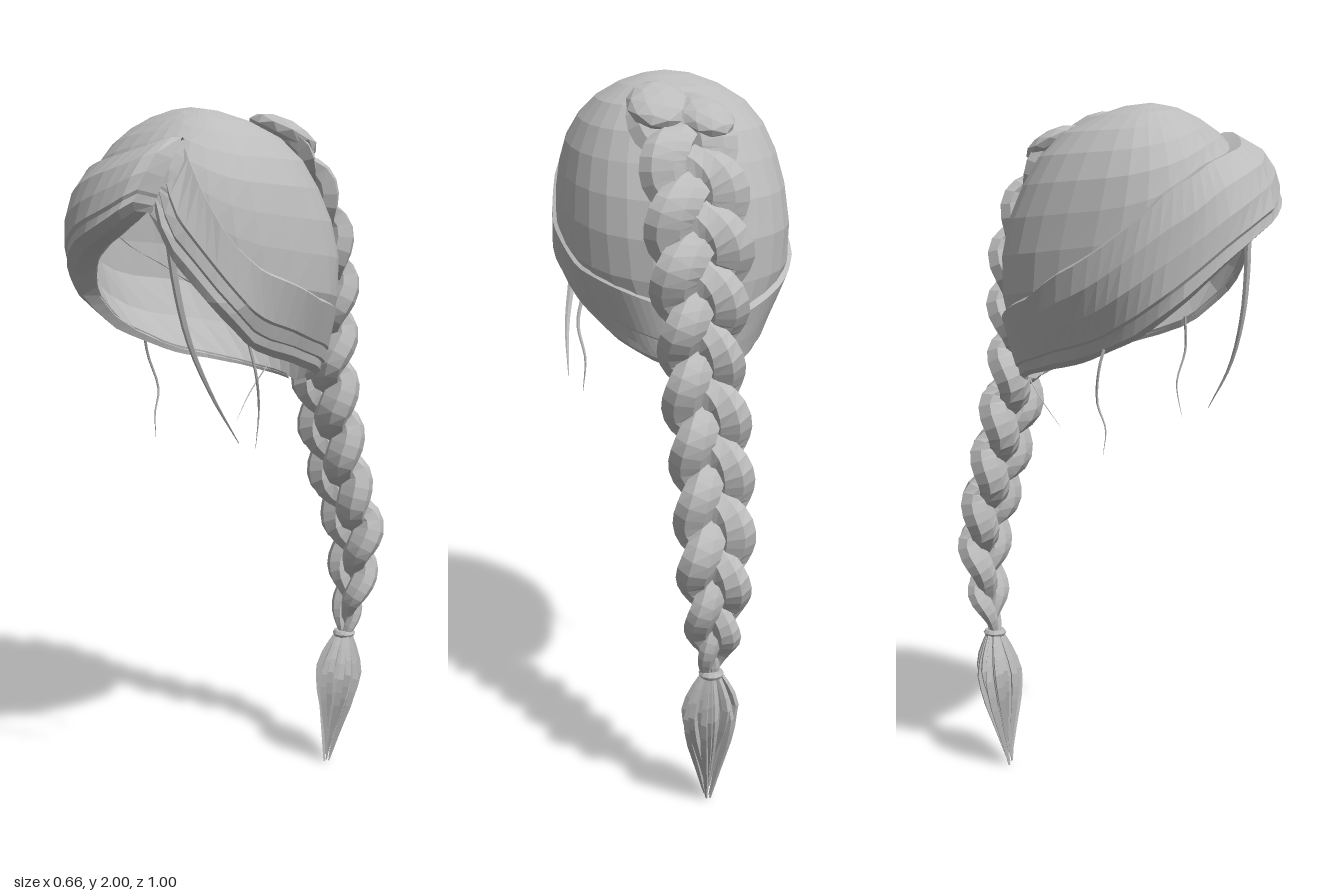
import * as THREE from 'three';

const V = (x, y, z) => new THREE.Vector3(x, y, z);
const rad = Math.PI / 180;

// Linear lookup in rows of [key, value, ...], keys ascending
function lookup(rows, key, col = 1) {
  if (key <= rows[0][0]) return rows[0][col];
  for (let i = 1; i < rows.length; i++) {
    const a = rows[i - 1], b = rows[i];
    if (key <= b[0]) return a[col] + (b[col] - a[col]) * (key - a[0]) / (b[0] - a[0]);
  }
  return rows[rows.length - 1][col];
}

// Bends a flat grid into the surface f(u, v)
function grid(nu, nv, f) {
  const g = new THREE.PlaneGeometry(1, 1, nu, nv);
  const p = g.attributes.position;
  for (let i = 0; i < p.count; i++) {
    const q = f(p.getX(i) + 0.5, p.getY(i) + 0.5);
    p.setXYZ(i, q.x, q.y, q.z);
  }
  g.computeVertexNormals();
  return g;
}

// Sweeps a flattened round section along path(t), with radius(t) and flatness(t)
function sweep(path, radius, steps, sides, flatness = () => 1) {
  return grid(sides, steps, (u, v) => {
    const t = 1 - v;
    const T = path(Math.min(1, t + 0.004)).sub(path(Math.max(0, t - 0.004))).normalize();
    const N = V(1, 0, 0).cross(T).normalize();
    const S = T.clone().cross(N).normalize();
    const r = radius(t), a = u * Math.PI * 2;
    return path(t).addScaledVector(S, Math.cos(a) * r).addScaledVector(N, Math.sin(a) * r * flatness(t));
  });
}

// Head shape: height, half width, front z, back z
const HEAD = [
  [1.2, 0.10, 0.0, -0.22], [1.3, 0.20, 0.2, -0.25], [1.4, 0.265, 0.33, -0.265],
  [1.5, 0.315, 0.38, -0.27], [1.6, 0.32, 0.40, -0.265], [1.7, 0.312, 0.415, -0.24],
  [1.8, 0.29, 0.40, -0.19], [1.86, 0.262, 0.375, -0.15], [1.92, 0.215, 0.325, -0.085],
  [1.96, 0.155, 0.27, -0.01], [1.99, 0.08, 0.21, 0.08], [2.0, 0, 0.15, 0.15]];

// Hairline height and top edge of the swept hair, by angle from the front
const HAIRLINE = [
  [-180, 1.22], [-131, 1.25], [-103, 1.28], [-76, 1.325], [-56, 1.39], [-41, 1.455], [-18, 1.58],
  [0, 1.65], [15, 1.70], [27, 1.75], [36, 1.62], [56, 1.49], [76, 1.38], [103, 1.31], [131, 1.265], [180, 1.22]];
const SWEPT_TOP = [
  [-160, 1.4], [-110, 1.49], [-80, 1.63], [-50, 1.77], [-25, 1.83], [0, 1.87], [28, 1.92],
  [40, 1.86], [60, 1.72], [80, 1.6], [110, 1.5], [160, 1.42]];
// How far the parting leans round the head towards its top
const PARTING_LEAN = [[-20, 0], [28, 15], [70, 0]];

const soft = (s) => Math.sign(s) * Math.pow(Math.abs(s), 0.85);

// Point on the head at an angle (degrees) and height, lifted outwards
function onHead(deg, y, lift = 0) {
  const w = lookup(HEAD, y, 1), zf = lookup(HEAD, y, 2), zb = lookup(HEAD, y, 3);
  const zc = zf * 0.55 + zb * 0.45;
  const s = soft(Math.sin(deg * rad)), c = soft(Math.cos(deg * rad));
  const p = V(w * s, y, zc + c * (c > 0 ? zf - zc : zc - zb));
  const out = V(p.x, (y - 1.62) * 0.8, p.z - 0.08).normalize();
  return p.addScaledVector(out, lift);
}

// Swept band of hair between the hairline and its top edge
function band(from, to, steps, section, strength) {
  return grid(steps, section.length - 1, (u, v) => {
    const deg = from + (to - from) * u;
    const row = section[Math.round(v * (section.length - 1))];
    const low = lookup(HAIRLINE, deg), high = lookup(SWEPT_TOP, deg);
    return onHead(deg + lookup(PARTING_LEAN, deg) * row[0], low + (high - low) * row[0],
      row[1] * lookup(strength, deg) + row[2]);
  });
}

// Centre line of the braid, from crown to hair tie
const braidLine = new THREE.CatmullRomCurve3([
  V(0.05, 1.935, -0.02), V(0.04, 1.88, -0.125), V(0.03, 1.76, -0.225), V(0.03, 1.6, -0.28),
  V(0.03, 1.4, -0.3), V(0.03, 1.25, -0.305), V(0.02, 1.1, -0.335), V(0.02, 0.9, -0.385),
  V(0.03, 0.75, -0.43), V(0.03, 0.6, -0.43), V(0.03, 0.42, -0.4)]);
// Position, sideways swing, strand radius, depth swing, flatness
const BRAID = [
  [0, 0.06, 0.015, 0.01, 0.5], [0.03, 0.075, 0.06, 0.015, 0.5], [0.3, 0.08, 0.066, 0.02, 0.55],
  [0.44, 0.06, 0.056, 0.026, 0.75], [0.55, 0.06, 0.056, 0.027, 0.8], [0.8, 0.055, 0.052, 0.025, 0.8],
  [0.93, 0.04, 0.036, 0.017, 0.8], [1, 0.012, 0.014, 0.005, 0.8]];

export function createModel() {
  const model = new THREE.Group();
  const hair = new THREE.MeshStandardMaterial({ color: 0xbcbcbc, flatShading: true, side: THREE.DoubleSide });
  hair.name = 'hairGrey';
  const add = (name, geometry, parent = model) => {
    const m = new THREE.Mesh(geometry, hair);
    m.name = name;
    parent.add(m);
    return m;
  };
  const group = (name) => {
    const g = new THREE.Group();
    g.name = name;
    model.add(g);
    return g;
  };

  // Smooth cap of hair down to the hairline
  add('hairCap', grid(30, 10, (u, v) => {
    const deg = -180 + 360 * u;
    const low = lookup(HAIRLINE, deg);
    return onHead(deg, low + (2 - low) * Math.sin(v * Math.PI / 2));
  }));

  // Side-swept fringe, running back along the right side: [height, bulge, base lift]
  add('sweptFringe', band(-165, 28, 36,
    [[0.02, 0.0, -0.005], [-0.02, 0.06, 0.008], [0.07, 0.08, 0.016], [0.18, 0.08, 0.009],
      [0.22, 0.08, 0.015], [0.45, 0.075, 0.012], [0.7, 0.06, 0.012], [0.97, 0.02, 0.014], [1, 0, -0.004]],
    [[-120, 0], [-75, 0.08], [-41, 0.35], [-18, 0.8], [0, 1], [18, 0.9], [24, 0.65], [28, 0]]));

  // Swept band on the left side of the parting
  add('leftSideBand', band(27, 165, 28,
    [[0.02, 0, -0.008], [-0.02, 1, 0.008], [0.1, 1, 0.014], [0.2, 1, 0.006], [0.24, 1, 0.014],
      [0.4, 1, 0.008], [0.44, 1, 0.012], [0.97, 1, 0.004], [1, 0, -0.004]],
    [[27, -0.015], [33, 0], [60, 0.006], [110, 0.002], [165, 0]]));

  // Three plaited strands
  const braid = group('braid');
  const phase = (t, k) => Math.PI * 2 * (3.6 * t + k / 3);
  for (let k = 0; k < 3; k++) {
    const path = (t) => {
      const T = braidLine.getTangentAt(t);
      const out = V(0, -T.z, T.y).normalize();
      const f = phase(t, k);
      const p = braidLine.getPointAt(t).addScaledVector(out, lookup(BRAID, t, 3) * Math.sin(2 * f));
      p.x += lookup(BRAID, t, 1) * Math.sin(f);
      return p;
    };
    const radius = (t) => lookup(BRAID, t, 2) * (0.85 + 0.25 * Math.sin(phase(t, k)) ** 2);
    add('braidStrand', sweep(path, radius, 80, 7, (t) => lookup(BRAID, t, 4)), braid);
  }

  // Locks gathered into the top of the braid
  [[0.09, 1.925, -0.095, 0.095, -0.4], [-0.03, 1.895, -0.14, 0.08, 0.4]].forEach(([x, y, z, r, turn]) => {
    const lock = add('crownLock', new THREE.IcosahedronGeometry(r, 1), braid);
    lock.scale.set(0.9, 0.42, 1.1);
    lock.rotation.set(-0.5, turn, 0);
    lock.position.set(x, y, z);
  });

  // Hair tie
  const tie = add('hairTie', new THREE.TorusGeometry(0.024, 0.011, 6, 12));
  tie.rotation.x = Math.PI / 2;
  tie.position.set(0.03, 0.418, -0.4);

  // Loose tuft below the tie
  const tuft = group('tuft');
  const spread = [[0, 0.02], [0.12, 0.04], [0.3, 0.064], [0.5, 0.056], [0.75, 0.03], [1, 0.008]];
  for (let i = 0; i < 24; i++) {
    const a = i * 2.4, size = i % 3 === 0 ? 0.65 : 1.1, length = 0.3 + 0.118 * ((i * 7) % 24) / 23;
    const path = (t) => {
      const s = lookup(spread, t) * size, d = t * length;
      return V(0.03 - d * 0.02 + Math.cos(a) * s, 0.42 - d, -0.4 + d * 0.14 + Math.sin(a) * s * 0.8);
    };
    add('tuftLock', sweep(path, (t) => 0.002 + 0.011 * Math.sin(Math.PI * Math.min(1, t * 0.85 + 0.12)),
      9, 4), tuft);
  }

  // Loose wisps around the face and nape: width, then points
  const wisps = group('wisps');
  [[0.015, V(0.185, 1.72, 0.36), V(0.21, 1.55, 0.35), V(0.235, 1.4, 0.325), V(0.265, 1.26, 0.275), V(0.28, 1.13, 0.2)],
    [0.006, V(-0.24, 1.38, 0.15), V(-0.25, 1.3, 0.13), V(-0.225, 1.2, 0.11), V(-0.215, 1.13, 0.13), V(-0.22, 1.06, 0.125)],
    [0.006, V(0.24, 1.4, 0.14), V(0.265, 1.3, 0.13), V(0.25, 1.2, 0.11), V(0.255, 1.1, 0.125)],
    [0.003, V(-0.1, 1.26, -0.2), V(-0.11, 1.18, -0.14), V(-0.1, 1.1, -0.08)],
  ].forEach(([width, ...points]) => {
    const c = new THREE.CatmullRomCurve3(points);
    add('wisp', sweep((t) => c.getPoint(t), (t) => width * (1 - 0.9 * t * t), 14, 5, () => 0.6), wisps);
  });

  return model;
}
